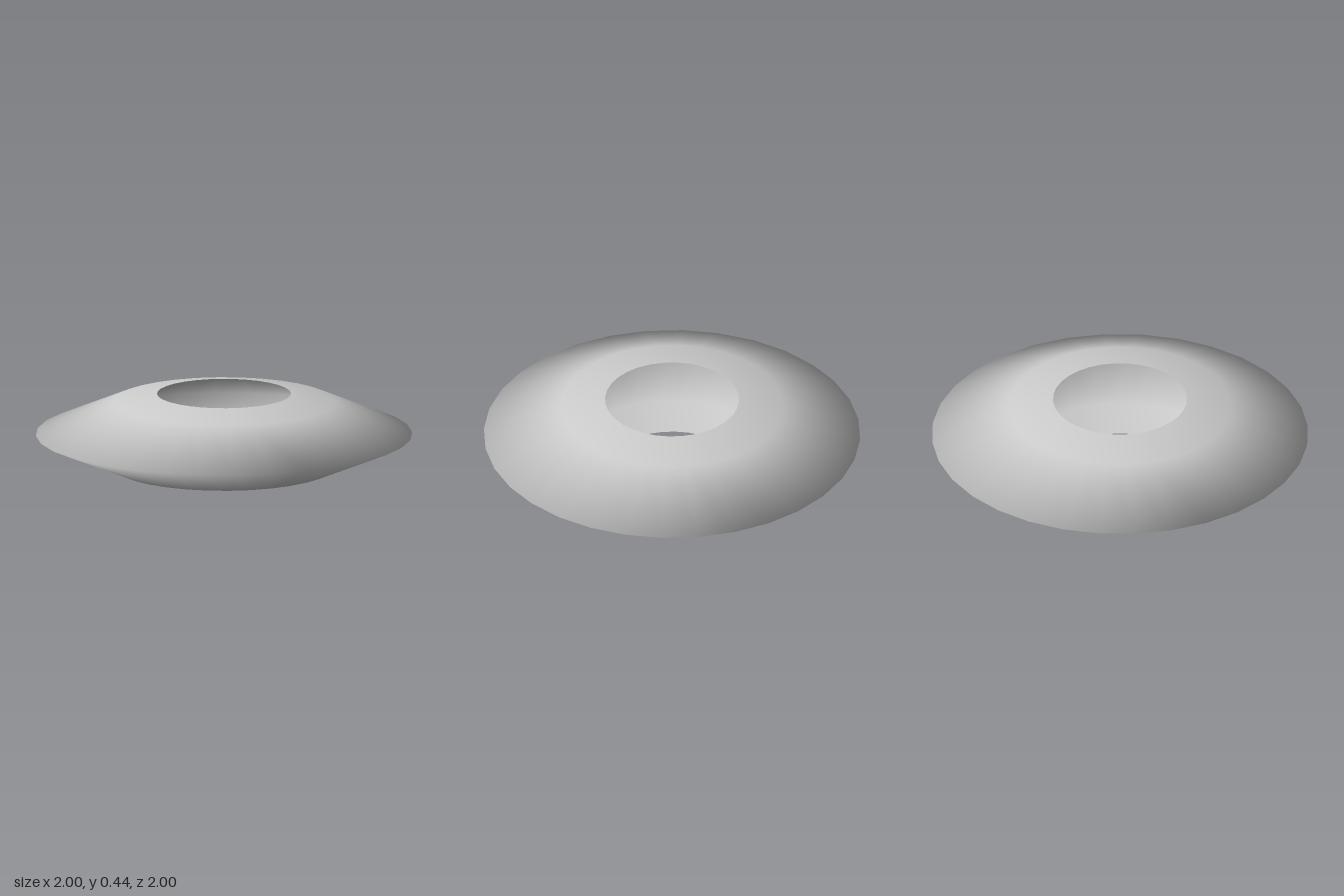
import * as THREE from 'three';

export function createModel() {
  const group = new THREE.Group();
  group.name = 'flyingRing';

  // Half profile from the lower hole rim to the sharp outer edge, mirrored for the upper half
  const mid = 0.22;
  const half = [[0.356, 0.22], [0.588, 0.177], [1, 0]];
  const lower = half.map(([r, h]) => new THREE.Vector2(r, mid - h));
  const upper = half.slice(0, 2).reverse().map(([r, h]) => new THREE.Vector2(r, mid + h));

  // Hollow shell, open at the central hole
  const shell = new THREE.Mesh(
    new THREE.LatheGeometry([...lower, ...upper], 32),
    new THREE.MeshStandardMaterial({ color: 0xcccccc, side: THREE.DoubleSide })
  );
  shell.name = 'ringShell';
  group.add(shell);

  return group;
}
